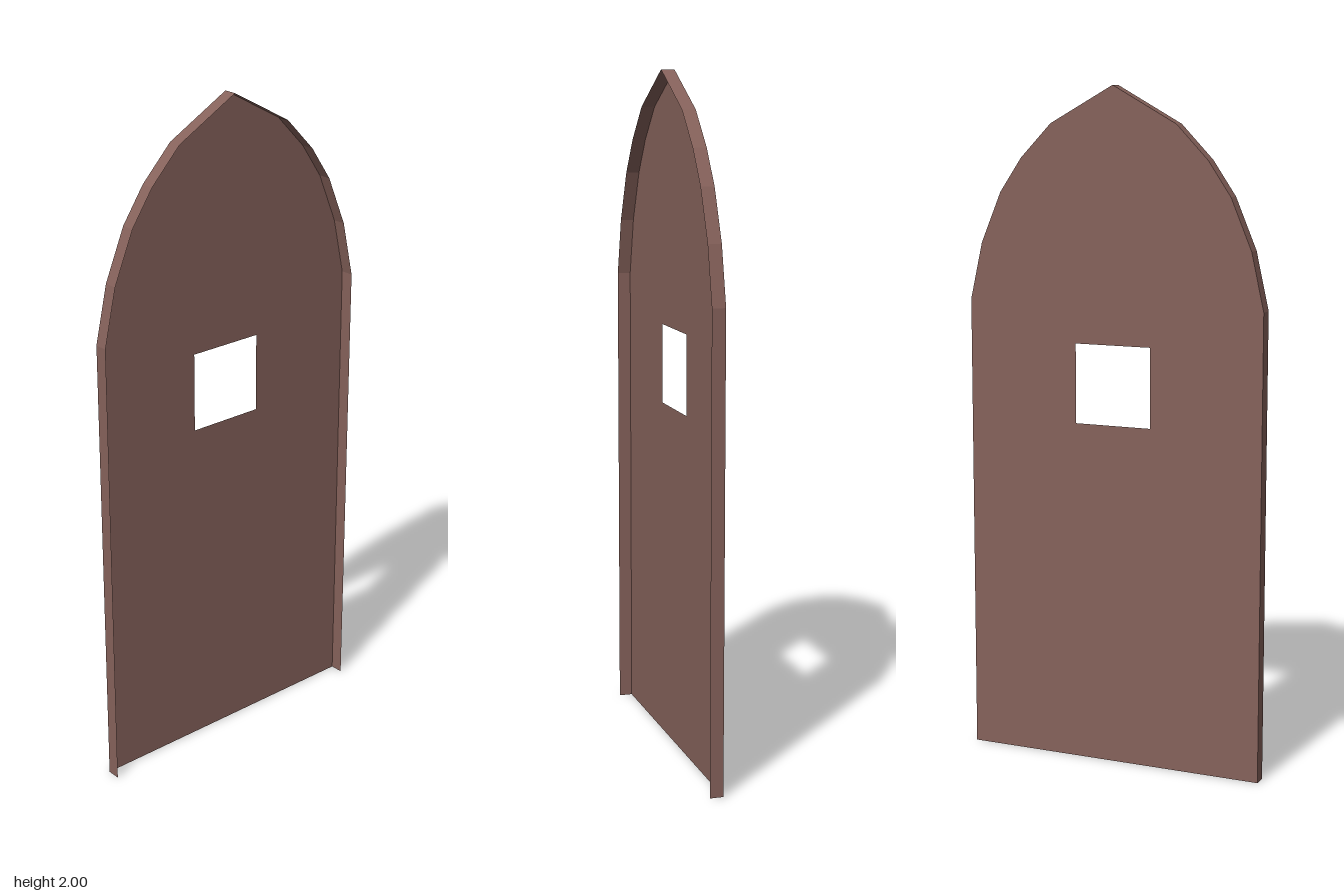
import * as THREE from 'three';

const DEPTH = 0.04;
const HOLE = { halfWidth: 0.118, bottom: 1.022, top: 1.258 };

// Right half of the pointed arch, from the floor up to the tip
const HALF = [
  [0.462, 0], [0.462, 1.375], [0.424, 1.543], [0.361, 1.692],
  [0.292, 1.793], [0.196, 1.892], [0, 2],
];

export function createModel() {
  const group = new THREE.Group();
  group.name = 'archedDoor';
  const wood = new THREE.MeshStandardMaterial({ color: 0x86625b, side: THREE.DoubleSide });
  wood.name = 'brown wood';

  // Full outline, mirrored about the centre line, open along the floor
  const mirrored = HALF.slice(0, -1).reverse().map(([x, y]) => [-x, y]);
  const outline = [...HALF, ...mirrored].map(([x, y]) => new THREE.Vector2(x, y));

  // Back panel with a square window opening
  const shape = new THREE.Shape(outline);
  const { halfWidth: w, bottom, top } = HOLE;
  shape.holes.push(new THREE.Path([
    new THREE.Vector2(-w, bottom), new THREE.Vector2(-w, top),
    new THREE.Vector2(w, top), new THREE.Vector2(w, bottom),
  ]));
  const panelGeometry = new THREE.ShapeGeometry(shape);
  panelGeometry.rotateY(Math.PI); // face the back; the outline is symmetric
  const panel = new THREE.Mesh(panelGeometry, wood);
  panel.name = 'doorPanel';
  panel.position.z = -DEPTH / 2;
  group.add(panel);

  // Thin rim running forward from the panel, with one flat strip per edge
  const positions = [];
  const f = DEPTH / 2;
  for (let i = 0; i < outline.length - 1; i++) {
    const a = outline[i], b = outline[i + 1];
    positions.push(a.x, a.y, f, a.x, a.y, -f, b.x, b.y, -f);
    positions.push(a.x, a.y, f, b.x, b.y, -f, b.x, b.y, f);
  }
  const rimGeometry = new THREE.BufferGeometry();
  rimGeometry.setAttribute('position', new THREE.Float32BufferAttribute(positions, 3));
  rimGeometry.computeVertexNormals();
  const rim = new THREE.Mesh(rimGeometry, wood);
  rim.name = 'doorRim';
  group.add(rim);

  return group;
}
